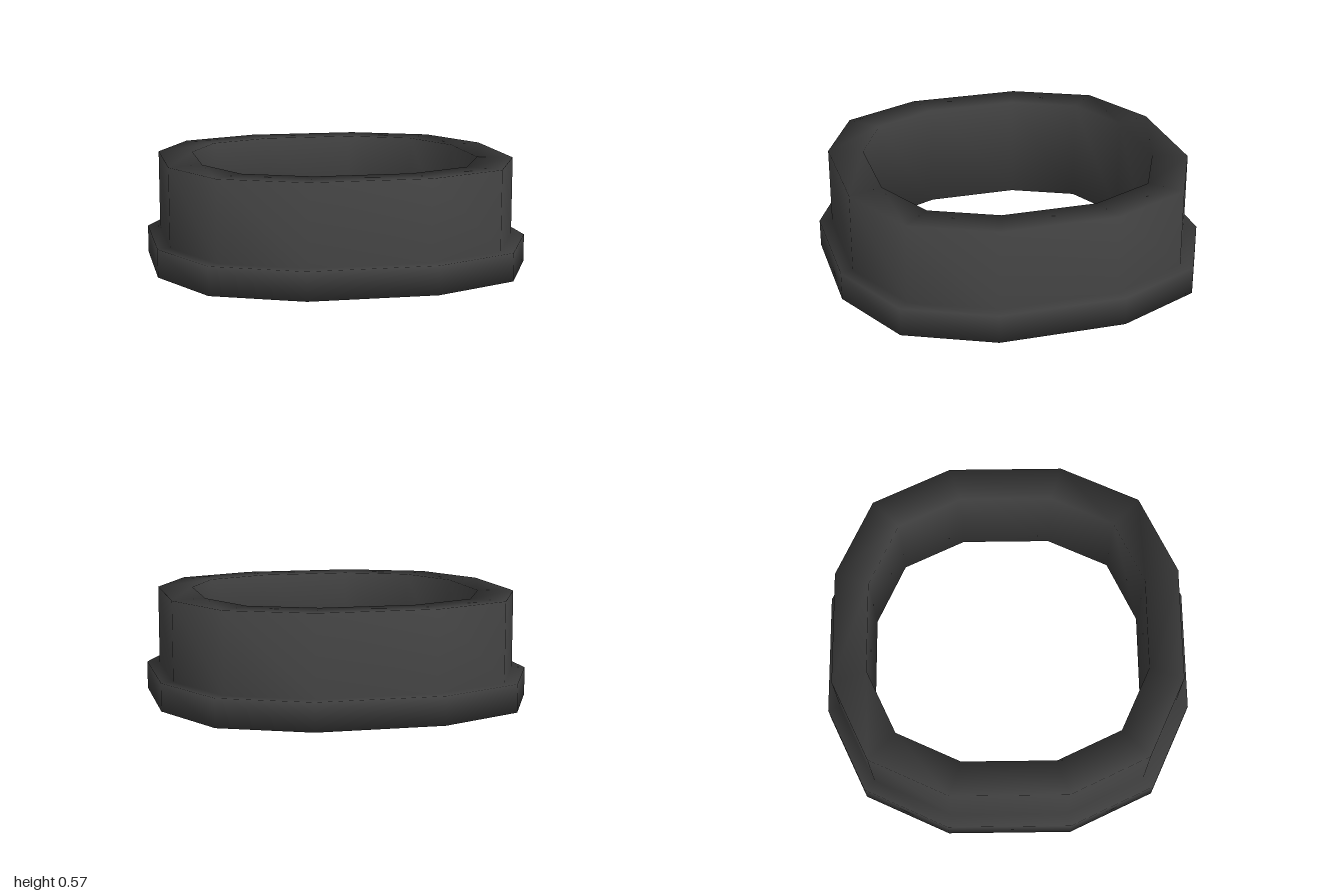
import * as THREE from 'three';

// Closed ring: a cross-section swept around a 12-cornered outline
function sweepRing(outline, section) {
  const n = outline.length, m = section.length;
  const positions = [], index = [];
  for (const [x, z] of outline) {
    for (const [scale, y] of section) positions.push(x * scale, y, z * scale);
  }
  for (let i = 0; i < n; i++) {
    const next = (i + 1) % n;
    for (let j = 0; j < m; j++) {
      const k = (j + 1) % m;
      const a = i * m + j, b = i * m + k, c = next * m + k, d = next * m + j;
      index.push(a, b, c, a, c, d);
    }
  }
  const geometry = new THREE.BufferGeometry();
  geometry.setAttribute('position', new THREE.Float32BufferAttribute(positions, 3));
  geometry.setIndex(index);
  geometry.computeVertexNormals(); // shared corners give soft shading
  return geometry;
}

export function createModel() {
  const group = new THREE.Group();
  group.name = 'flangedRing';
  const darkGrey = new THREE.MeshStandardMaterial({ color: 0x404040 });
  darkGrey.name = 'darkGrey';

  // Squared-off twelve-sided outline, repeated by quarter turns
  const outline = [];
  let quarter = [[1, -0.333], [1, 0.333], [0.788, 0.788]];
  for (let q = 0; q < 4; q++) {
    outline.push(...quarter);
    quarter = quarter.map(([x, z]) => [-z, x]);
  }

  // Cross-section [outline scale, height]: flange, step, outer wall, rim, bore
  const section = [
    [0.75, 0], [1, 0], [1, 0.15], [0.933, 0.15], [0.933, 0.575], [0.75, 0.575],
  ];

  const ring = new THREE.Mesh(sweepRing(outline, section), darkGrey);
  ring.name = 'ringWithFlange';
  group.add(ring);
  return group;
}
